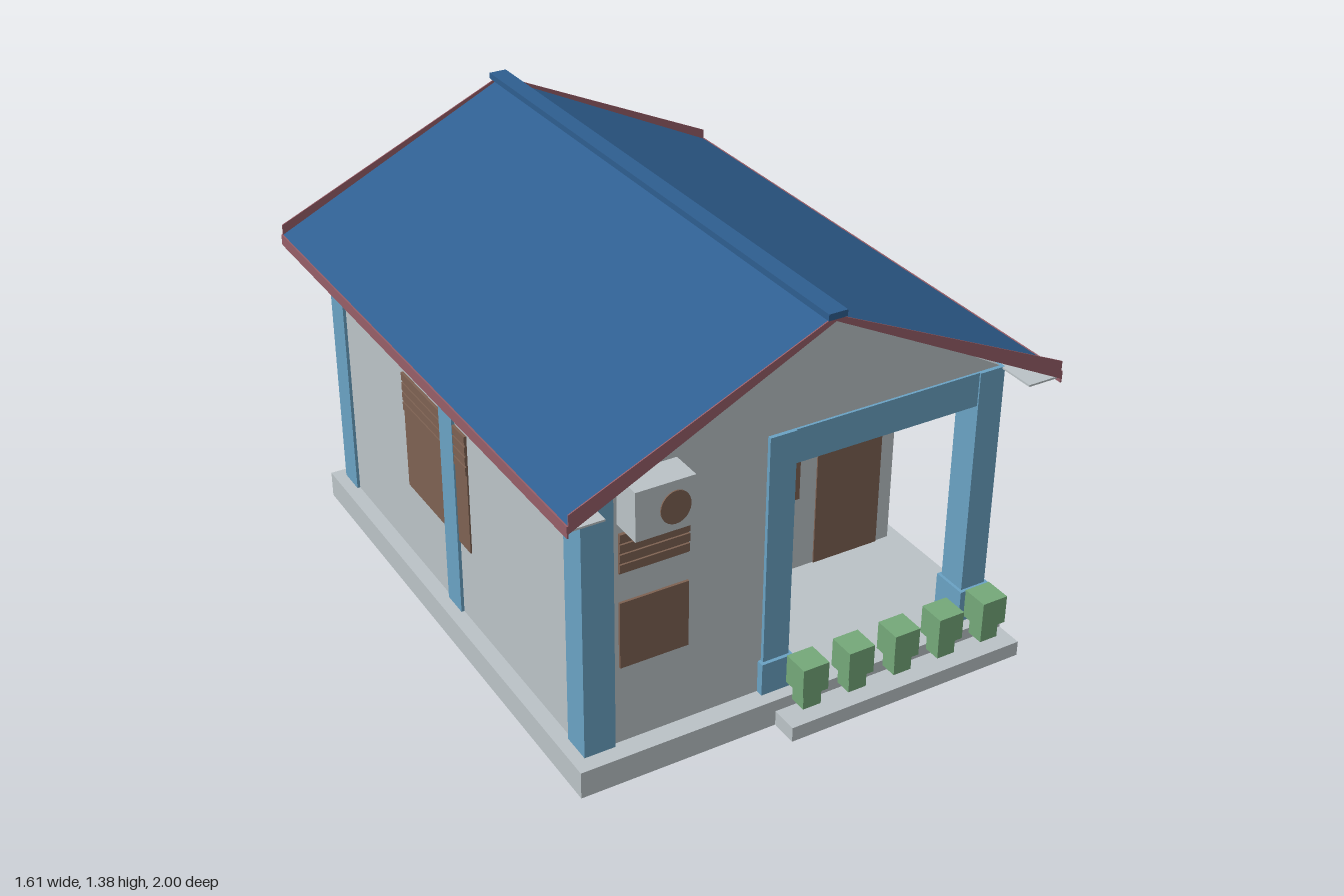
import * as THREE from 'three';

const mat = (name, color, side = THREE.FrontSide) => {
  const m = new THREE.MeshStandardMaterial({ color, side });
  m.name = name;
  return m;
};

export function createModel() {
  const house = new THREE.Group();
  house.name = 'house';
  const wall = mat('pale grey', 0xbdc5c9);
  const soffitGrey = wall;
  const blue = mat('light blue', 0x6ba4c6);
  const roofBlue = mat('roof blue', 0x2f5f91, THREE.DoubleSide);
  const red = mat('dusty red', 0x985f69, THREE.DoubleSide);
  const brown = mat('brown', 0x7f6353);
  const green = mat('green', 0x76aa7b);

  const add = (name, geometry, material, parent = house) => {
    const mesh = new THREE.Mesh(geometry, material);
    mesh.name = name;
    parent.add(mesh);
    return mesh;
  };
  // Box given by its minimum and maximum on each axis
  const box = (name, material, x0, x1, y0, y1, z0, z1, parent) => {
    const mesh = add(name, new THREE.BoxGeometry(x1 - x0, y1 - y0, z1 - z0), material, parent);
    mesh.position.set((x0 + x1) / 2, (y0 + y1) / 2, (z0 + z1) / 2);
    return mesh;
  };
  const outline = (points) => new THREE.Shape(points.map(([x, y]) => new THREE.Vector2(x, y)));
  const extrude = (points, depth) =>
    new THREE.ExtrudeGeometry(outline(points), { depth, bevelEnabled: false });

  // Ground slab and front step
  box('groundSlab', wall, -0.74, 0.735, 0, 0.09, -0.9, 0.91);
  box('frontStep', wall, -0.093, 0.735, 0, 0.05, 0.91, 1.0);

  // Walls, leaving an open porch at the front of the +x side
  box('mainWalls', wall, -0.69, 0.69, 0.09, 0.96, -0.85, 0.375);
  box('wingWalls', wall, -0.69, -0.09, 0.09, 0.96, 0.375, 0.845);
  add('gable', extrude([[-0.69, 0.96], [0.69, 0.96], [0, 1.352]], 1.695), wall).position.z = -0.85;

  // Posts: x range, z range
  const posts = [
    [-0.7, -0.6, 0.76, 0.858],
    [-0.108, -0.02, 0.76, 0.858],
    [0.612, 0.7, 0.76, 0.858],
    [0.612, 0.7, -0.22, -0.13],
    [-0.7, -0.612, -0.035, 0.057],
    [0.6, 0.7, -0.863, -0.765],
    [-0.7, -0.6, -0.863, -0.765],
  ];
  for (const [x0, x1, z0, z1] of posts) box('post', blue, x0, x1, 0.09, 0.96, z0, z1);

  // Porch plinths and beams
  for (const x of [-0.064, 0.656])
    box('postPlinth', blue, x - 0.054, x + 0.054, 0.09, 0.2, 0.75, 0.87);
  box('frontBeam', blue, -0.02, 0.612, 0.85, 0.96, 0.765, 0.853);
  box('sideBeam', blue, 0.617, 0.695, 0.85, 0.96, 0.375, 0.76);

  // Roof sheets, soffits, eave fascias and gable bargeboards
  const z0 = -0.99, z1 = 0.985, mid = (z0 + z1) / 2, length = z1 - z0;
  for (const s of [-1, 1]) {
    const run = 0.8, drop = 0.385;
    const sheet = add('roofSheet', new THREE.BoxGeometry(Math.hypot(run, drop), 0.006, length - 0.004), roofBlue);
    sheet.position.set(s * run / 2, 1.358 - drop / 2, mid);
    sheet.rotation.z = -s * Math.atan2(drop, run);
    box('eaveFascia', red, s * 0.8025 - 0.0025, s * 0.8025 + 0.0025, 0.94, 0.977, z0, z1);
    box('soffit', soffitGrey, s * 0.745 - 0.055, s * 0.745 + 0.055, 0.954, 0.96, z0 + 0.005, z1 - 0.005);
    const board = [[0, 1.352], [0, 1.37], [s * 0.8, 1.01], [s * 0.8, 0.953]];
    for (const z of [z0, z1 - 0.004])
      add('bargeboard', extrude(board, 0.004), red).position.z = z;
  }
  box('ridgeCap', roofBlue, -0.03, 0.03, 1.362, 1.382, -1.0, 0.992);

  // Doors and windows on the walls facing the front, some with slats
  const slats = (name, x0, x1, y0, y1, z, count) => {
    const step = (y1 - y0) / count;
    for (let i = 0; i < count; i++)
      box(name, brown, x0, x1, y0 + i * step + step * 0.2, y0 + (i + 1) * step, z, z + 0.006);
  };
  box('wingWindow', brown, -0.58, -0.36, 0.355, 0.575, 0.845, 0.853);
  box('wingVent', brown, -0.58, -0.36, 0.67, 0.8, 0.845, 0.85);
  slats('wingVentSlat', -0.58, -0.36, 0.67, 0.8, 0.85, 4);
  box('porchWindow', brown, 0.01, 0.33, 0.355, 0.765, 0.375, 0.38);
  slats('porchWindowSlat', 0.01, 0.33, 0.625, 0.765, 0.38, 4);
  box('door', brown, 0.395, 0.64, 0.09, 0.765, 0.375, 0.38);
  slats('doorSlat', 0.395, 0.64, 0.625, 0.765, 0.38, 4);

  // Window on the -x side
  box('sideWindow', brown, -0.695, -0.69, 0.355, 0.765, -0.31, 0.138);
  for (let i = 0; i < 4; i++)
    box('sideWindowSlat', brown, -0.699, -0.695, 0.632 + i * 0.035, 0.66 + i * 0.035, -0.31, 0.138);

  // Air conditioner with round fan grille
  const cooler = new THREE.Group();
  cooler.name = 'airConditioner';
  house.add(cooler);
  box('coolerCase', wall, -0.583, -0.398, 0.83, 0.985, 0.845, 0.945, cooler);
  const fan = add('coolerFan', new THREE.CylinderGeometry(0.047, 0.047, 0.004, 24), brown, cooler);
  fan.rotation.x = Math.PI / 2;
  fan.scale.z = 1.1;
  fan.position.set(-0.461, 0.904, 0.947);

  // Potted plants along the step and hanging on the +x wall
  for (const x of [-0.018, 0.142, 0.305, 0.466, 0.628]) {
    box('stepPot', green, x - 0.031, x + 0.031, 0.09, 0.15, 0.928, 0.985);
    box('stepPlant', green, x - 0.044, x + 0.044, 0.148, 0.243, 0.912, 1.0);
  }
  for (const z of [0.09, -0.098, -0.285]) {
    box('wallPot', green, 0.685, 0.735, 0.47, 0.502, z - 0.026, z + 0.026);
    box('wallPlant', green, 0.685, 0.752, 0.5, 0.598, z - 0.039, z + 0.039);
  }
  return house;
}
